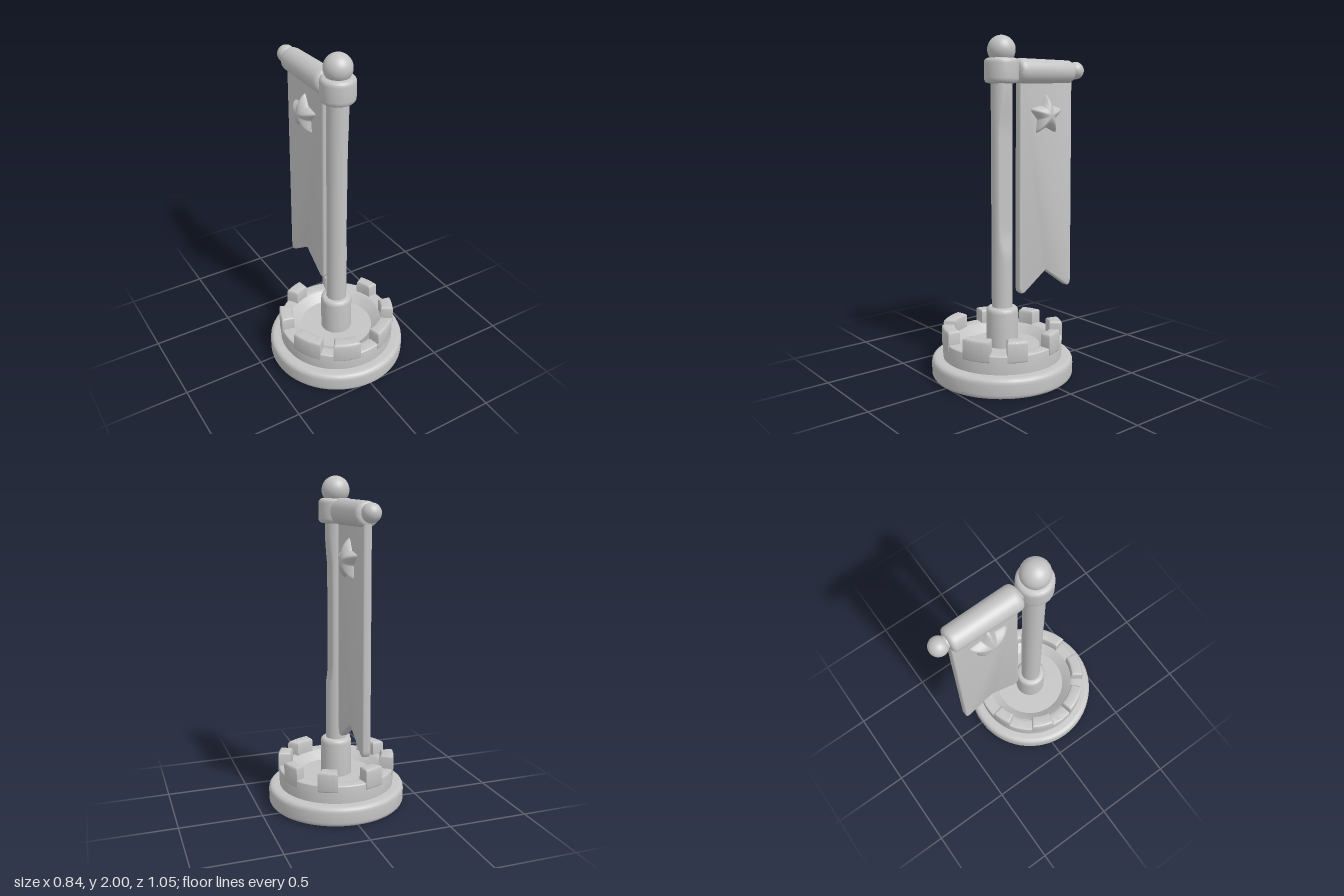
import * as THREE from 'three';
import { toCreasedNormals } from 'three/addons/utils/BufferGeometryUtils.js';

const POLE_Z = 0.1;

// Lathe from [radius, height, fillet] corners, listed from bottom to top
function turned(corners, segments = 48) {
  const v = corners.map(([r, y]) => new THREE.Vector2(r, y));
  const pts = [];
  corners.forEach(([, , fillet = 0], i) => {
    if (!fillet) { pts.push(v[i]); return; }
    const toward = (q) => q.clone().sub(v[i]).setLength(fillet).add(v[i]);
    const curve = new THREE.QuadraticBezierCurve(toward(v[i - 1]), v[i], toward(v[i + 1]));
    pts.push(...curve.getPoints(5));
  });
  return toCreasedNormals(new THREE.LatheGeometry(pts, segments), 0.6);
}

// Rounded block following the wall between two angles in degrees
function battlementGeometry(fromDeg, toDeg, inner, outer, top) {
  const b = 0.014;
  const from = THREE.MathUtils.degToRad(fromDeg);
  const to = THREE.MathUtils.degToRad(toDeg);
  const shape = new THREE.Shape();
  shape.absarc(0, 0, outer - b, from + b / outer, to - b / outer, false);
  shape.absarc(0, 0, inner + b, to - b / inner, from + b / inner, true);
  const geo = new THREE.ExtrudeGeometry(shape, {
    depth: 0.1, bevelEnabled: true, bevelSize: b, bevelThickness: b, bevelSegments: 3, curveSegments: 6,
  });
  geo.rotateX(Math.PI / 2);
  geo.translate(0, top - b, 0);
  return toCreasedNormals(geo, 0.7);
}

// Puffy five-pointed star facing both ways along x
function starGeometry(outer, inner, halfDepth) {
  const geo = new THREE.SphereGeometry(1, 80, 24);
  const p = geo.attributes.position;
  const step = Math.PI / 5;
  for (let i = 0; i < p.count; i++) {
    const a = Math.atan2(p.getZ(i), p.getX(i));
    const rho = Math.hypot(p.getX(i), p.getZ(i));
    // angle from the nearest tip, then distance to the straight star edge
    const t = Math.abs(a - Math.round(a / (2 * step)) * 2 * step);
    const edge = outer * inner * Math.sin(step) /
      (outer * Math.sin(t) + inner * Math.sin(step - t));
    const r = Math.min(edge, outer * 0.95) * rho;
    p.setXYZ(i, p.getY(i) * halfDepth, r * Math.cos(a), -r * Math.sin(a));
  }
  geo.computeVertexNormals();
  return geo;
}

export function createModel() {
  const model = new THREE.Group();
  model.name = 'bannerStand';
  const grey = new THREE.MeshStandardMaterial({ color: 0xc4c4c4 });
  grey.name = 'grey';

  const add = (name, geometry, x, y, z, parent = model) => {
    const mesh = new THREE.Mesh(geometry, grey);
    mesh.name = name;
    mesh.position.set(x, y, z);
    parent.add(mesh);
    return mesh;
  };

  // Round foot
  add('base', turned([[0, 0.005], [0.422, 0.005, 0.03], [0.422, 0.125, 0.035], [0, 0.125]], 64), 0, 0, POLE_Z);

  // Low tower wall with a sunken floor
  add('towerWall', turned([
    [0.354, 0.11], [0.358, 0.235, 0.012], [0.285, 0.235, 0.015], [0.225, 0.185], [0, 0.185],
  ], 64), 0, 0, POLE_Z);

  // Battlements, slightly uneven around the ring: start angle, end angle, inner radius
  const battlements = new THREE.Group();
  battlements.name = 'battlements';
  battlements.position.z = POLE_Z;
  model.add(battlements);
  [
    [-73, -54, 0.283], [-31, -11, 0.295], [14, 33, 0.283], [49, 76, 0.283],
    [97, 124, 0.283], [137, 167, 0.283], [190, 214, 0.28], [239, 259, 0.283],
  ].forEach(([from, to, inner]) => {
    add('battlement', battlementGeometry(from, to, inner, 0.36, 0.316), 0, 0, 0, battlements);
  });

  // Pole socket, collar and finial
  add('poleSocket', turned([[0.095, 0.16], [0.095, 0.42, 0.03], [0.05, 0.42]]), 0, 0, POLE_Z);
  add('poleCollar', turned([
    [0.05, 1.73], [0.1, 1.73, 0.03], [0.1, 1.873, 0.03], [0.05, 1.873],
  ]), 0, 0, POLE_Z);
  add('finial', new THREE.SphereGeometry(0.081, 40, 24), 0, 1.919, POLE_Z);

  // Pole, shaved flatter on its left side above the lower third
  const pole = new THREE.CylinderGeometry(0.062, 0.062, 1.4, 40, 28, true);
  const p = pole.attributes.position;
  for (let i = 0; i < p.count; i++) {
    const y = p.getY(i) + 1.08;
    const cut = THREE.MathUtils.smoothstep(y, 0.72, 0.86) * (1 - THREE.MathUtils.smoothstep(y, 1.45, 1.72));
    p.setX(i, Math.min(p.getX(i), 0.062 - 0.024 * cut));
  }
  pole.computeVertexNormals();
  add('pole', pole, 0, 1.08, POLE_Z);

  // Crossbar, the cloth roll around it and its end knob
  const bar = add('crossbar', new THREE.CylinderGeometry(0.036, 0.036, 0.5, 24), 0, 1.81, -0.2);
  bar.rotation.x = Math.PI / 2;
  const roll = add('clothRoll', turned([
    [0, -0.212], [0.07, -0.212, 0.03], [0.076, 0.213, 0.04], [0, 0.213],
  ], 40), 0, 1.8, -0.214);
  roll.rotation.x = Math.PI / 2;
  add('endKnob', new THREE.SphereGeometry(0.053, 32, 20), 0, 1.81, -0.472);

  // Swallow-tailed banner
  const b = 0.012;
  const outline = new THREE.Shape();
  outline.moveTo(0.018 + b, 1.8);
  outline.lineTo(0.016 + b, 0.51);
  outline.quadraticCurveTo(0.02 + b, 0.46 + b, 0.06, 0.48 + b);
  outline.lineTo(0.205, 0.583 + b);
  outline.quadraticCurveTo(0.223, 0.598 + b, 0.241, 0.583 + b);
  outline.lineTo(0.39, 0.478 + b);
  outline.quadraticCurveTo(0.432 - b, 0.45 + b, 0.432 - b, 0.51);
  outline.lineTo(0.424 - b, 1.8);
  const cloth = new THREE.ExtrudeGeometry(outline, {
    depth: 0.026, bevelEnabled: true, bevelSize: b, bevelThickness: b, bevelSegments: 3, curveSegments: 6,
  });
  cloth.translate(0, 0, -0.013);
  cloth.rotateY(Math.PI / 2);
  add('banner', toCreasedNormals(cloth, 0.6), 0, 0, 0);

  // Raised star on both faces of the banner
  add('star', starGeometry(0.138, 0.074, 0.083), 0, 1.543, -0.212);

  return model;
}
